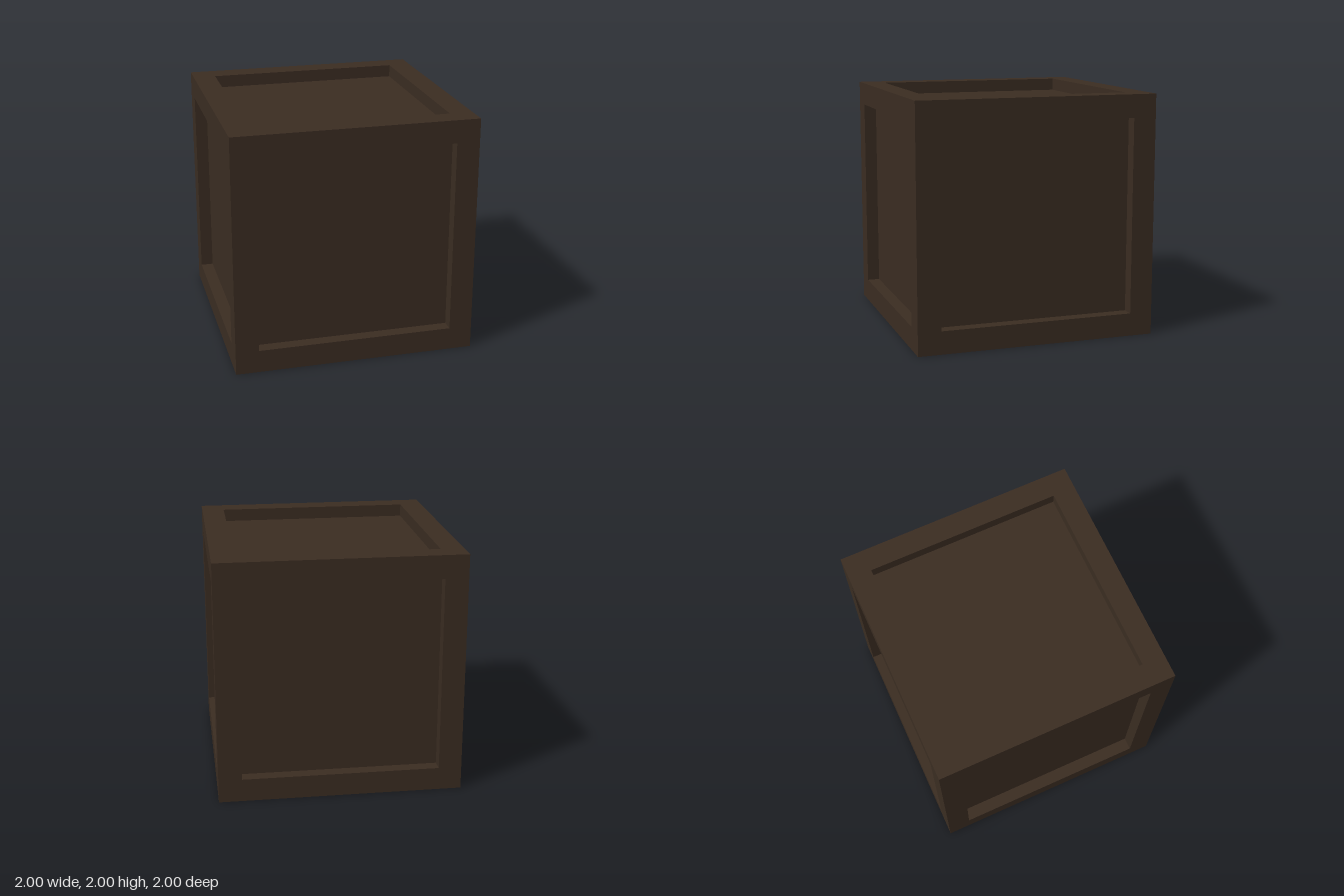
import * as THREE from 'three';
import { mergeGeometries } from 'three/addons/utils/BufferGeometryUtils.js';

const HALF = 1;        // half the crate size
const OPEN = 0.81;     // half the recess opening
const DEPTH = 0.104;   // recess depth

function square(h, Type) {
  const s = new Type();
  s.moveTo(-h, -h);
  s.lineTo(h, -h);
  s.lineTo(h, h);
  s.lineTo(-h, h);
  s.closePath();
  return s;
}

// Flat border of one side plus the four walls of its recess, facing +z
function frameGeometry() {
  const border = square(HALF, THREE.Shape);
  border.holes.push(square(OPEN, THREE.Path));
  const parts = [new THREE.ShapeGeometry(border).translate(0, 0, HALF)];
  for (let i = 0; i < 4; i++) {
    parts.push(new THREE.PlaneGeometry(2 * OPEN, DEPTH)
      .rotateX(-Math.PI / 2)
      .translate(0, -OPEN, HALF - DEPTH / 2)
      .rotateZ(i * Math.PI / 2));
  }
  return mergeGeometries(parts);
}

export function createModel() {
  const crate = new THREE.Group();
  crate.name = 'crate';
  const wood = new THREE.MeshStandardMaterial({ color: 0x3b2d22 });
  const frameGeo = frameGeometry();
  const panelGeo = new THREE.PlaneGeometry(2 * OPEN, 2 * OPEN).translate(0, 0, HALF - DEPTH);

  // Six identical sides turned around the crate centre
  const q = Math.PI / 2;
  const sides = [
    ['front', 0, 0], ['left', 0, q], ['back', 0, 2 * q], ['right', 0, -q],
    ['top', -q, 0], ['bottom', q, 0],
  ];
  for (const [name, rx, ry] of sides) {
    const side = new THREE.Group();
    side.name = name + 'Side';
    const frame = new THREE.Mesh(frameGeo, wood);
    frame.name = name + 'Frame';
    const panel = new THREE.Mesh(panelGeo, wood);
    panel.name = name + 'Panel';
    side.add(frame, panel);
    side.rotation.set(rx, ry, 0);
    side.position.y = HALF;
    crate.add(side);
  }
  return crate;
}
